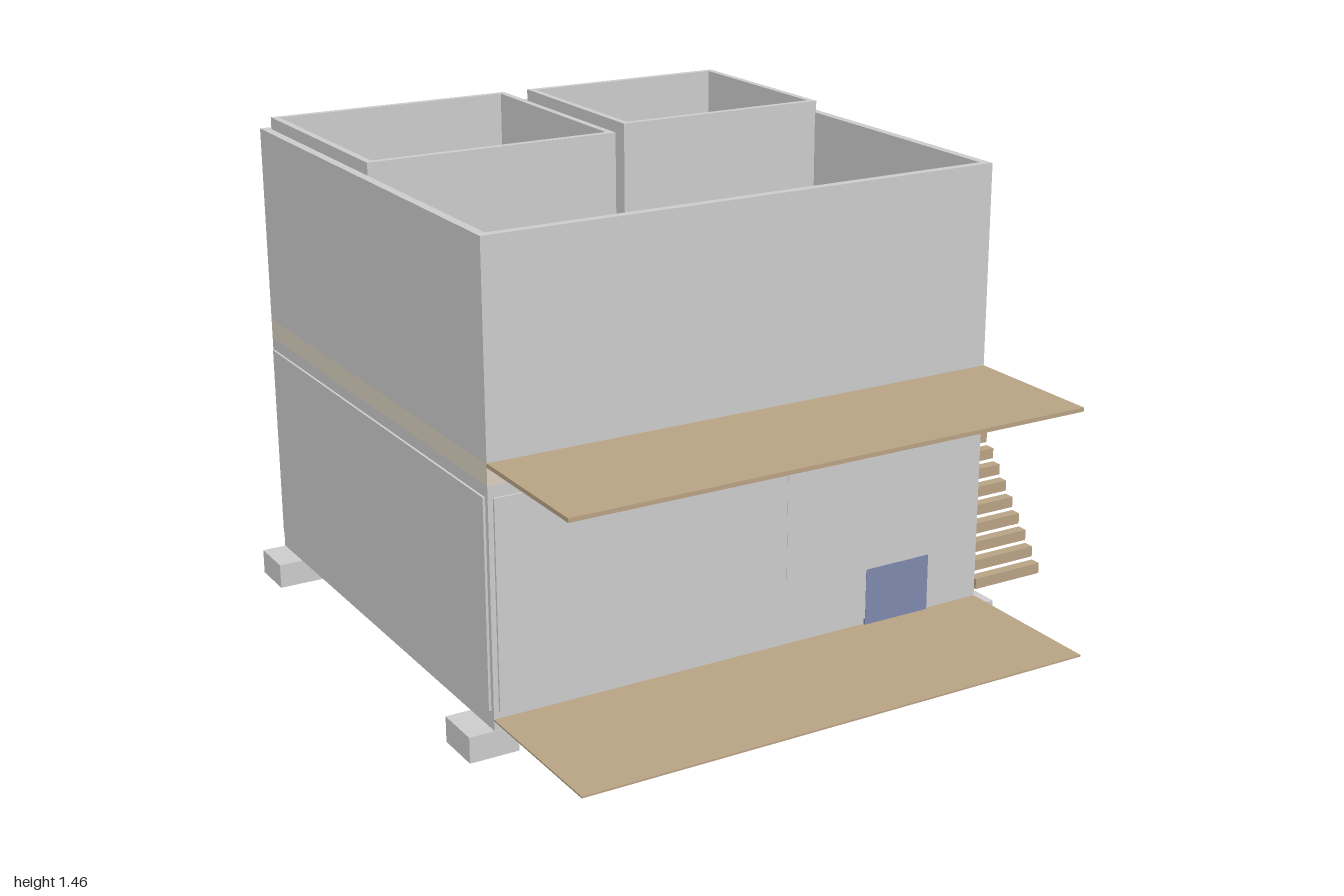
import * as THREE from 'three';

const mat = (color) => new THREE.MeshStandardMaterial({ color });

export function createModel() {
  const model = new THREE.Group();
  const grey = mat(0xcccccc), wood = mat(0xb8a284), floorMat = mat(0xd9cfbf), blue = mat(0x7f88ae);

  // Box given by its extents on each axis
  const box = (name, material, [x0, x1], [y0, y1], [z0, z1], parent = model) => {
    const mesh = new THREE.Mesh(new THREE.BoxGeometry(x1 - x0, y1 - y0, z1 - z0), material);
    mesh.position.set((x0 + x1) / 2, (y0 + y1) / 2, (z0 + z1) / 2);
    mesh.name = name;
    parent.add(mesh);
  };

  // Rectangular ring of walls, open above and below
  const walls = (name, [x0, x1], [y0, y1], [z0, z1], t) => {
    const rect = (P, i) => new P([
      [x0 + i, -z1 + i], [x1 - i, -z1 + i], [x1 - i, -z0 - i], [x0 + i, -z0 - i],
    ].map(([x, y]) => new THREE.Vector2(x, y)));
    const shape = rect(THREE.Shape, 0);
    shape.holes.push(rect(THREE.Path, t));
    const geo = new THREE.ExtrudeGeometry(shape, { depth: y1 - y0, bevelEnabled: false });
    geo.rotateX(-Math.PI / 2).translate(0, y0, 0);
    const mesh = new THREE.Mesh(geo, grey);
    mesh.name = name;
    model.add(mesh);
  };

  const X = [-0.897, 0.697], Z = [-0.99, 0.513], T = 0.026;
  const inset = ([a, b], d) => [a + d, b - d];

  // Footings: five along the front and five along the back
  const footings = new THREE.Group();
  footings.name = 'footings';
  model.add(footings);
  for (let i = 0; i < 5; i++) {
    const x = -0.898 + i * 0.399;
    for (const z of [[0.367, 0.513], [-0.99, -0.845]]) {
      box('footing', grey, [x - 0.073, x + 0.073], [0, 0.076], z, footings);
    }
  }

  // Floors and the two storeys of outer walls
  box('groundFloor', floorMat, inset(X, 0.001), [0.076, 0.136], inset(Z, 0.001));
  walls('lowerWalls', X, [0.077, 0.77], Z, T);
  box('upperFloor', floorMat, X, [0.77, 0.83], Z);
  walls('upperWalls', X, [0.83, 1.428], Z, T);

  // Two upstairs rooms, slightly taller than the outer walls
  walls('leftRearRoom', [-0.871, -0.093], [0.83, 1.464], [-0.964, -0.24], 0.021);
  walls('rightRearRoom', [-0.01, 0.675], [0.83, 1.464], [-0.964, -0.337], 0.021);

  // Thin cladding panels on the lower storey
  const panelY = [0.13, 0.735], p = 0.007;
  const px = inset(X, 0.015), pz = inset(Z, 0.015);
  box('frontPanel', grey, px, panelY, [Z[1], Z[1] + p]);
  box('backPanel', grey, px, panelY, [Z[0] - p, Z[0]]);
  box('rightPanel', grey, [X[1], X[1] + p], panelY, pz);
  box('leftPanel', grey, [X[0] - p, X[0]], panelY, pz);

  // Thin linings inside the upper storey
  box('frontLining', grey, [-0.863, 0.672], [0.85, 1.41], [0.477, 0.488]);
  box('backLining', grey, [-0.093, -0.01], [0.85, 1.41], [-0.965, -0.956]);

  // Openings: blue front door, and wide windows front and back
  box('frontDoor', blue, [0.295, 0.515], [0.11, 0.283], [Z[1], Z[1] + p + 0.001]);
  box('frontWindow', grey, [0.02, 0.46], [0.283, 0.625], [Z[1], Z[1] + p + 0.001]);
  box('backWindow', grey, [-0.32, 0.12], [0.28, 0.625], [-1, Z[0]]);

  // Decks projecting from the front
  box('upperDeck', wood, X, [0.82, 0.832], [Z[1], 0.953]);
  box('lowerDeck', wood, X, [0.105, 0.11], [Z[1], 1.0]);

  // Outside stair of separate treads rising towards the back
  const stairs = new THREE.Group();
  stairs.name = 'stairs';
  model.add(stairs);
  for (let i = 0; i < 17; i++) {
    const y = 0.13 + i * 0.0425, z = 0.47 - i * 0.0346;
    box('tread', wood, [0.725, 0.966], [y - 0.0165, y + 0.0165], [z - 0.0165, z + 0.0165], stairs);
  }
  return model;
}
